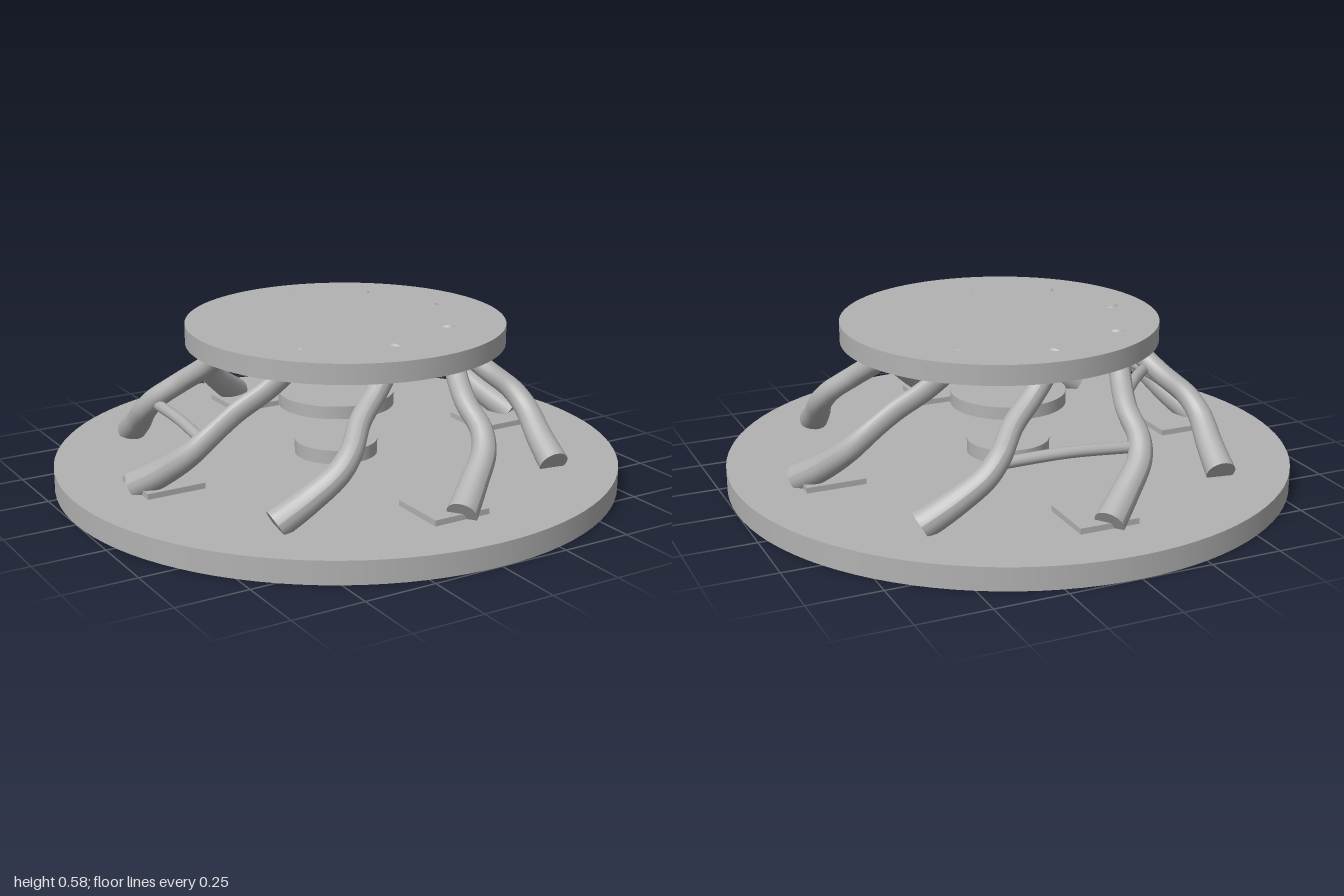
import * as THREE from 'three';

const V = (x, y, z) => new THREE.Vector3(x, y, z);
const UP = V(0, 1, 0);

export function createModel() {
  const model = new THREE.Group();
  const grey = new THREE.MeshStandardMaterial({ color: 0xb2b2b2 });
  grey.name = 'grey';

  const add = (name, geometry, parent = model) => {
    const mesh = new THREE.Mesh(geometry, grey);
    mesh.name = name;
    parent.add(mesh);
    return mesh;
  };
  const disc = (name, radius, y0, y1, x = 0, z = 0) =>
    add(name, new THREE.CylinderGeometry(radius, radius, y1 - y0, 96).translate(x, (y0 + y1) / 2, z));

  // Round base, top platform and the central hub with its raised disc
  disc('base', 1, 0, 0.08);
  disc('topPlatform', 0.56, 0.5, 0.57, 0.02, 0.03);
  disc('hub', 0.148, 0.08, 0.13);
  disc('raisedDisc', 0.205, 0.265, 0.31);

  // Square foot pads
  for (let i = 0; i < 4; i++) {
    const a = i * Math.PI / 2;
    add('footPad', new THREE.BoxGeometry(0.21, 0.02, 0.21)
      .translate(0.68 * Math.cos(a), 0.09, 0.68 * Math.sin(a)));
  }

  // Bent legs: one path, repeated around the centre
  const path = new THREE.CatmullRomCurve3([
    V(0.78, 0.098, 0), V(0.715, 0.165, -0.09), V(0.655, 0.24, -0.172), V(0.6, 0.295, -0.2),
    V(0.5, 0.365, -0.205), V(0.4, 0.435, -0.235), V(0.28, 0.55, -0.28),
  ]);
  const segments = 48, sides = 20;
  const footRadius = 0.052, topRadius = 0.037;

  // Taper the tube from foot to top; narrow its upper half sideways if asked
  const legGeometry = (narrow) => {
    const tube = new THREE.TubeGeometry(path, segments, footRadius, sides);
    const pos = tube.attributes.position;
    const v = new THREE.Vector3();
    for (let i = 0; i <= segments; i++) {
      const t = i / segments;
      const centre = path.getPointAt(t);
      const taper = THREE.MathUtils.lerp(1, topRadius / footRadius, Math.min(1, t * 2));
      const side = THREE.MathUtils.lerp(1, narrow, THREE.MathUtils.smoothstep(t, 0.25, 0.5));
      for (let j = 0; j <= sides; j++) {
        const k = i * (sides + 1) + j;
        v.fromBufferAttribute(pos, k).sub(centre).multiplyScalar(taper);
        v.z *= side;
        v.add(centre);
        pos.setXYZ(k, v.x, v.y, v.z);
      }
    }
    tube.computeVertexNormals();
    return tube;
  };
  const roundLeg = legGeometry(1), narrowLeg = legGeometry(0.7);
  const outward = path.getTangentAt(0).negate();

  for (let i = 0; i < 8; i++) {
    const leg = new THREE.Group();
    leg.name = 'leg';
    leg.rotation.y = -i * Math.PI / 4;
    add('legTube', i % 4 === 0 ? narrowLeg : roundLeg, leg);
    const cap = add('legEnd', new THREE.CircleGeometry(footRadius, sides), leg);
    cap.position.copy(path.getPointAt(0));
    cap.quaternion.setFromUnitVectors(V(0, 0, 1), outward);
    model.add(leg);
  }

  // Thin braces joining neighbouring legs at the back and one side
  const brace = (first, point, lift) => {
    const a = point.clone().applyAxisAngle(UP, -first * Math.PI / 4);
    const b = point.clone().applyAxisAngle(UP, -(first + 1) * Math.PI / 4);
    const middle = a.clone().add(b).multiplyScalar(0.5);
    middle.y += lift;
    add('brace', new THREE.TubeGeometry(new THREE.CatmullRomCurve3([a, middle, b]), 24, 0.02, 12));
  };
  brace(4, V(0.61, 0.27, -0.19), 0.01);
  brace(5, V(0.44, 0.37, -0.22), 0.015);
  brace(6, V(0.61, 0.27, -0.19), 0.01);

  return model;
}
